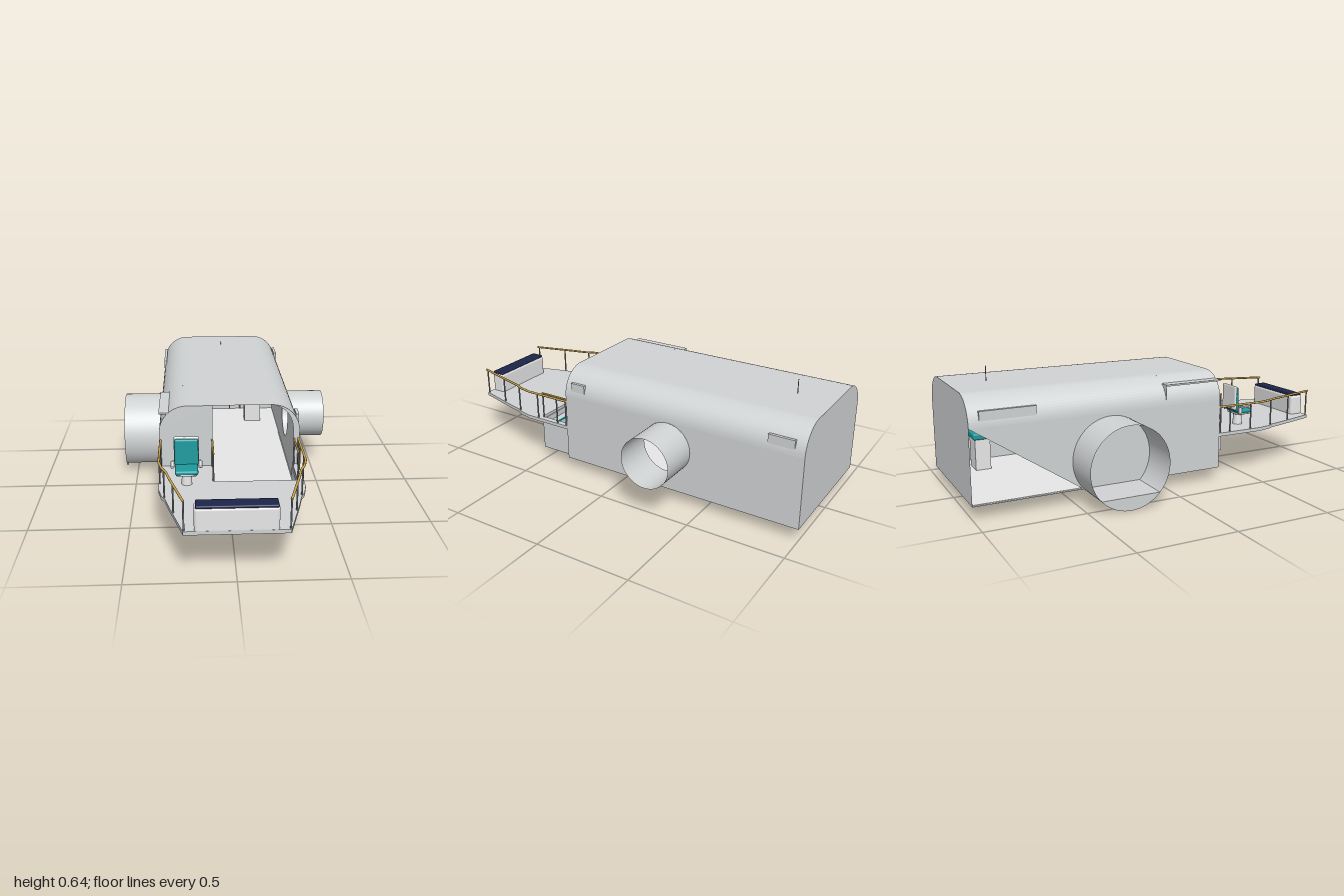
import * as THREE from 'three';
import { RoundedBoxGeometry } from 'three/addons/geometries/RoundedBoxGeometry.js';

const mat = (name, color, side = THREE.FrontSide) => {
  const m = new THREE.MeshStandardMaterial({ color, side });
  m.name = name;
  return m;
};

export function createModel() {
  const grey = mat('hull grey', 0xd0d3d4, THREE.DoubleSide);
  const white = mat('white', 0xf4f4f4);
  const gold = mat('gold', 0xc9a24c);
  const teal = mat('teal', 0x1d9a9c);
  const navy = mat('navy', 0x1d2549);
  const steel = mat('steel', 0x8d9092);

  const model = new THREE.Group();
  const group = (name) => {
    const g = new THREE.Group();
    g.name = name;
    model.add(g);
    return g;
  };
  const add = (parent, name, geo, m, x = 0, y = 0, z = 0) => {
    const mesh = new THREE.Mesh(geo, m);
    mesh.name = name;
    mesh.position.set(x, y, z);
    parent.add(mesh);
    return mesh;
  };
  // Box given by its minimum and maximum corners, optionally rounded
  const box = (parent, name, m, [x0, y0, z0], [x1, y1, z1], r = 0) => {
    const s = [x1 - x0, y1 - y0, z1 - z0];
    const geo = r ? new RoundedBoxGeometry(...s, 3, r) : new THREE.BoxGeometry(...s);
    return add(parent, name, geo, m, (x0 + x1) / 2, (y0 + y1) / 2, (z0 + z1) / 2);
  };
  const rail = (parent, name, pts, r, m) => {
    const path = new THREE.CurvePath();
    const v = pts.map((p) => new THREE.Vector3(...p));
    for (let i = 1; i < v.length; i++) path.add(new THREE.LineCurve3(v[i - 1], v[i]));
    return add(parent, name, new THREE.TubeGeometry(path, 40, r, 8), m);
  };

  const W = 0.35, B = 0.065, T = 0.57, R = 0.14, BACK = -1, FRONT = 0.32, DECK = 0.25;

  // Big side tunnel: its round section is cut off at the floor line
  const bigR = 0.207, bigY = 0.207, tunnelZ = -0.3, cut = Math.asin((bigY - B) / bigR);
  const smallR = 0.13, smallY = 0.295, smallZ = -0.295;

  // Hull side walls, drawn in (z, y)
  const hull = group('hull');
  const sideWall = (name, shape, x) =>
    add(hull, name, new THREE.ShapeGeometry(shape, 48).rotateY(-Math.PI / 2), grey, x);
  const leftShape = new THREE.Shape().moveTo(BACK, B).lineTo(FRONT, B).lineTo(FRONT, T - R).lineTo(BACK, T - R);
  leftShape.holes.push(new THREE.Path().absarc(smallZ, smallY, smallR, 0, Math.PI * 2));
  sideWall('leftWall', leftShape, W);
  const rightShape = new THREE.Shape().moveTo(BACK, B);
  rightShape.absarc(tunnelZ, bigY, bigR, Math.PI + cut, -cut, true);
  rightShape.lineTo(FRONT, B).lineTo(FRONT, T - R).lineTo(BACK, T - R);
  sideWall('rightWall', rightShape, -W);

  // Roof with rounded shoulders
  const arc = [];
  for (let i = 0; i <= 16; i++) {
    const a = (i / 16) * Math.PI / 2;
    arc.push([W - R + R * Math.cos(a), T - R + R * Math.sin(a)]);
  }
  const profile = [...arc, ...arc.map(([x, y]) => [-x, y]).reverse()];
  const roof = new THREE.PlaneGeometry(1, 1, profile.length - 1, 1);
  for (let i = 0; i < profile.length * 2; i++) {
    const [x, y] = profile[i % profile.length];
    roof.attributes.position.setXYZ(i, x, y, i < profile.length ? BACK : FRONT);
  }
  roof.computeVertexNormals();
  add(hull, 'roof', roof, grey);

  // End wall, front bulkhead and small front cabin
  const archShape = (x1) => {
    const s = new THREE.Shape().moveTo(-W, B).lineTo(x1, B);
    if (x1 === W) s.absarc(W - R, T - R, R, 0, Math.PI / 2, false);
    else s.lineTo(x1, T);
    s.absarc(-W + R, T - R, R, Math.PI / 2, Math.PI, false);
    return s;
  };
  const flat = (name, shape, z) => add(hull, name, new THREE.ShapeGeometry(shape, 20), grey, 0, 0, z);
  flat('backWall', archShape(W), BACK);
  flat('frontBulkhead', archShape(-0.085), FRONT);
  flat('cabinBackWall', archShape(-0.085), 0);
  const strip = new THREE.Shape().moveTo(0.32, B).lineTo(W, B);
  strip.absarc(W - R, T - R, R, 0, Math.PI / 2, false);
  strip.quadraticCurveTo(0.32, 0.55, 0.32, 0.41);
  flat('doorwayJamb', strip, FRONT);
  box(hull, 'cabinSideWall', grey, [-0.088, B, 0], [-0.085, T, FRONT]);
  box(hull, 'hullBottom', grey, [-W, B, BACK], [W, B + 0.004, FRONT]);
  box(hull, 'cabinFloor', white, [-W + 0.004, B + 0.004, BACK + 0.004], [W - 0.004, B + 0.008, FRONT]);

  // Shoulder panels and the flap above the front cabin
  for (const [z0, z1] of [[0.2, 0.28], [-0.95, -0.82]])
    box(hull, 'leftVent', grey, [0.335, 0.46, z0], [W, 0.505, z1]);
  box(hull, 'rightVent', grey, [-W, 0.46, -0.95], [-0.335, 0.505, -0.68]);
  box(hull, 'cabinFlap', grey, [-W, 0.528, 0], [-0.3, 0.536, FRONT]);
  flat('flapEnd', new THREE.Shape().moveTo(-W, 0.43).lineTo(-0.3, 0.535).lineTo(-W, 0.535), 0.002);
  box(hull, 'aerial', steel, [-0.0005, T, -0.812], [0.0005, 0.645, -0.808]);

  // Side tunnels
  const tunnels = group('sideTunnels');
  add(tunnels, 'smallTunnel', new THREE.CylinderGeometry(smallR, smallR, 0.205, 56, 1, true).rotateZ(Math.PI / 2),
    grey, 0.4525, smallY, smallZ);
  add(tunnels, 'bigTunnel',
    new THREE.CylinderGeometry(bigR, bigR, 0.21, 56, 1, true, -cut, Math.PI + 2 * cut).rotateZ(Math.PI / 2),
    grey, -0.455, bigY, tunnelZ);
  const half = bigR * Math.cos(cut);
  box(tunnels, 'tunnelFloor', grey, [-0.56, B, tunnelZ - half], [-W, B + 0.003, tunnelZ + half]);
  const sill = new THREE.Shape().absarc(tunnelZ, bigY, bigR, Math.PI + cut, 2 * Math.PI - cut, false);
  add(tunnels, 'tunnelSill', new THREE.ShapeGeometry(sill, 24).rotateY(-Math.PI / 2), grey, -0.56);
  add(tunnels, 'tunnelTrim', new THREE.TorusGeometry(bigR + 0.003, 0.004, 6, 48, Math.PI + 2 * cut)
    .rotateZ(-cut).rotateY(-Math.PI / 2), gold, -W + 0.004, bigY, tunnelZ);

  // Gold door frames on the inner end wall
  const inside = group('interior');
  for (const [x0, x1] of [[-0.065, 0.065], [0.135, 0.26]]) {
    for (const x of [x0, x1]) box(inside, 'doorPost', gold, [x - 0.004, 0.075, -0.995], [x + 0.004, 0.53, -0.985]);
    box(inside, 'doorHead', gold, [x0 - 0.004, 0.525, -0.995], [x1 + 0.004, 0.535, -0.985]);
  }
  box(inside, 'bench', teal, [0.14, 0.235, -0.85], [0.26, 0.27, -0.75], 0.01);
  box(inside, 'benchBase', white, [0.15, B + 0.008, -0.84], [0.25, 0.235, -0.76]);

  // Tapered foredeck, notched for the stairwell
  const deck = group('foredeck');
  const edge = [[W, FRONT], [W, 0.58], [0.335, 0.65], [0.315, 0.69], [0.298, 0.76], [0.232, 0.995]];
  const outline = [[-0.085, FRONT], [-0.085, 0.51], [0.32, 0.51], [0.32, FRONT], ...edge,
    ...edge.map(([x, z]) => [-x, z]).reverse()].map((p) => new THREE.Vector2(...p));
  add(deck, 'deckPlate', new THREE.ExtrudeGeometry(new THREE.Shape(outline), { depth: 0.018, bevelEnabled: false })
    .rotateX(Math.PI / 2), grey, 0, DECK);

  // Stairwell below the deck
  box(deck, 'stairwellFront', grey, [-0.085, B, 0.505], [0.32, 0.235, 0.51]);
  box(deck, 'stairwellFloor', grey, [-0.085, B, FRONT], [0.32, B + 0.004, 0.51]);
  for (const x of [-0.085, 0.316]) box(deck, 'stairwellSide', grey, [x, B, FRONT], [x + 0.004, 0.235, 0.51]);
  [0.46, 0.413, 0.367, 0.325].forEach((z, i) => {
    const y = 0.205 - i * 0.035;
    box(deck, 'step', grey, [-0.08, B + 0.004, z], [0.315, y, z + 0.045]);
    box(deck, 'stepNosing', i === 1 ? steel : teal, [-0.08, y - 0.004, z - 0.004], [0.315, y + 0.003, z + 0.006]);
  });

  // Railings around the deck and beside the stairs
  const rails = group('railings');
  const edgeX = (z) => {
    const i = Math.max(1, edge.findIndex((p) => p[1] >= z));
    const [a, b] = [edge[i - 1], edge[i]];
    return a[0] + (b[0] - a[0]) * (z - a[1]) / (b[1] - a[1]);
  };
  const post = (x, z) => add(rails, 'post', new THREE.CylinderGeometry(0.004, 0.004, 0.14, 8), steel, x, DECK + 0.07, z);
  for (const s of [-1, 1]) {
    rail(rails, 'handrail', edge.map(([x, z]) => [s * (x - 0.006), 0.389, z]), 0.006, gold);
    for (const z of [0.33, 0.39, 0.52, 0.67, 0.82, 0.985]) post(s * (edgeX(z) - 0.006), z);
  }
  for (const x of [-0.087, 0.322]) {
    rail(rails, 'stairRail', [[x, 0.389, FRONT], [x, 0.389, 0.505]], 0.005, gold);
    for (const z of [0.335, 0.5]) post(x, z);
  }

  // Bow bench
  const sofa = group('bowBench');
  box(sofa, 'benchBody', white, [-0.185, 0.238, 0.918], [0.182, 0.358, 0.995], 0.015);
  box(sofa, 'benchCushion', navy, [-0.178, 0.352, 0.922], [0.178, 0.366, 0.992], 0.006);

  // Helm chair facing the bow
  const chair = group('helmChair');
  add(chair, 'pedestal', new THREE.CylinderGeometry(0.022, 0.026, 0.07, 24), white, -0.215, 0.28, 0.525);
  box(chair, 'seatShell', white, [-0.265, 0.308, 0.49], [-0.165, 0.322, 0.575], 0.006);
  box(chair, 'seatCushion', teal, [-0.27, 0.317, 0.488], [-0.16, 0.338, 0.582], 0.009);
  box(chair, 'backShell', white, [-0.275, 0.34, 0.464], [-0.155, 0.47, 0.478], 0.006);
  const back = box(chair, 'backCushion', teal, [-0.272, 0.33, 0.475], [-0.158, 0.462, 0.495], 0.009);
  back.rotation.x = -0.04;
  for (const x of [-0.281, -0.149]) {
    box(chair, 'armrest', white, [x - 0.009, 0.35, 0.5], [x + 0.009, 0.36, 0.57], 0.004);
    box(chair, 'armBracket', white, [x - 0.004, 0.32, 0.485], [x + 0.004, 0.355, 0.505]);
  }
  return model;
}
